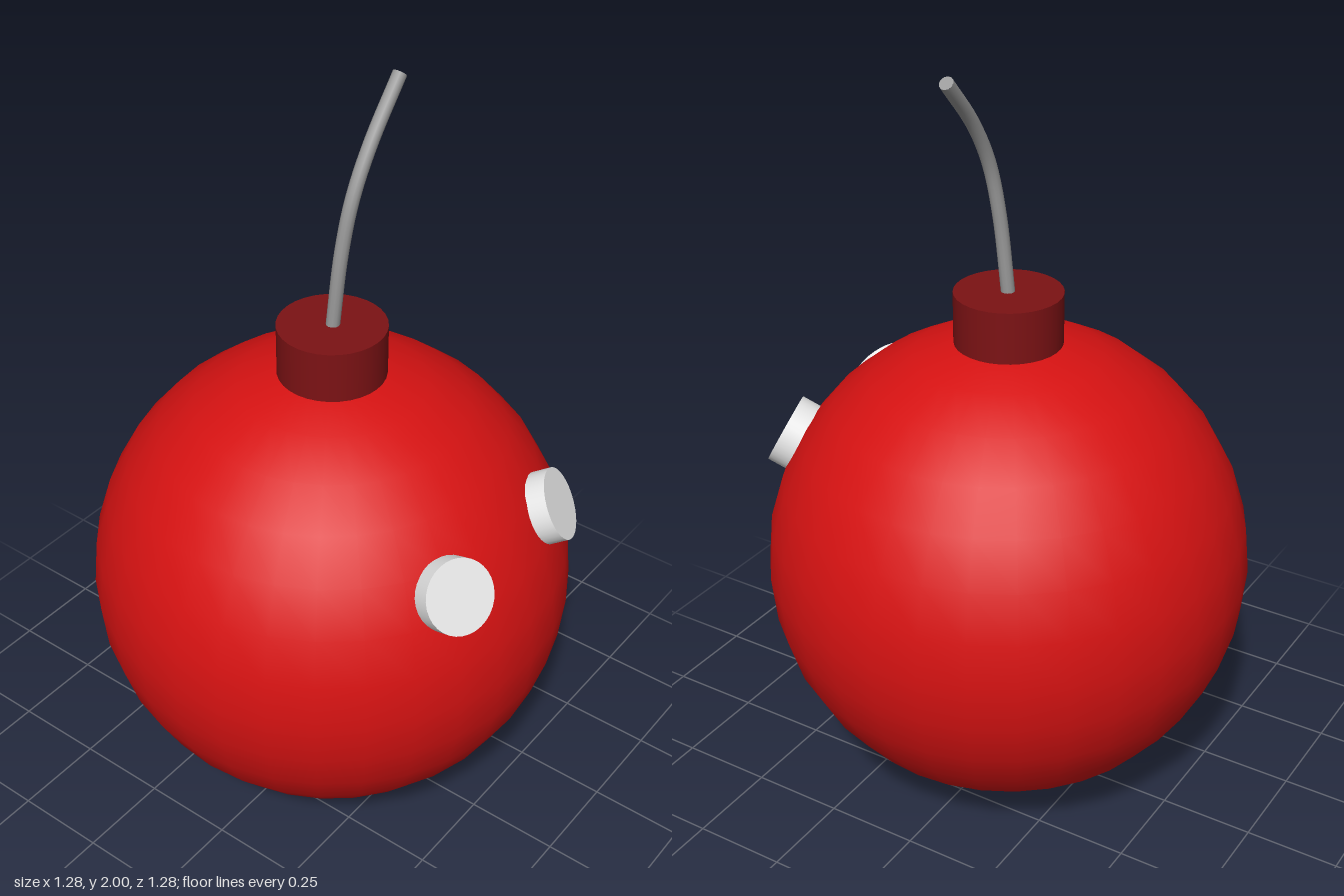
import * as THREE from 'three';

const material = (name, color) => {
  const m = new THREE.MeshStandardMaterial({ color });
  m.name = name;
  return m;
};

export function createModel() {
  const red = material('red', 0xd61212);
  const darkRed = material('dark red', 0x7c1214);
  const white = material('white', 0xfafafa);
  const grey = material('grey', 0x999999);

  const model = new THREE.Group();
  model.name = 'bomb';
  const add = (name, geometry, mat, parent = model) => {
    const mesh = new THREE.Mesh(geometry, mat);
    mesh.name = name;
    parent.add(mesh);
    return mesh;
  };

  // Round body
  const R = 0.64;
  const centre = new THREE.Vector3(0, R, 0);
  add('body', new THREE.SphereGeometry(R, 32, 16), red).position.copy(centre);

  // Collar at the top
  add('collar', new THREE.CylinderGeometry(0.14, 0.14, 0.2, 32), darkRed).position.y = 1.3;

  // Bent fuse with closed ends
  const fuse = new THREE.Group();
  fuse.name = 'fuse';
  model.add(fuse);
  const radius = 0.018;
  const path = new THREE.CatmullRomCurve3([
    [0, 1.38, 0], [0.016, 1.6, 0.016], [0.045, 1.74, 0.027],
    [0.11, 1.855, 0.029], [0.232, 1.986, 0.022],
  ].map((p) => new THREE.Vector3(...p)));
  add('fuseCord', new THREE.TubeGeometry(path, 24, radius, 12), grey, fuse);
  for (const [t, sign] of [[0, -1], [1, 1]]) {
    const end = add('fuseEnd', new THREE.CircleGeometry(radius, 12), grey, fuse);
    const outward = path.getTangentAt(t).multiplyScalar(sign);
    end.position.copy(path.getPointAt(t));
    end.quaternion.setFromUnitVectors(new THREE.Vector3(0, 0, 1), outward);
  }

  // Disc eyes, each pointing straight out from the body's centre
  const depth = 0.1;
  for (const [name, side] of [['leftEye', 1], ['rightEye', -1]]) {
    const out = new THREE.Vector3(side * 0.225, 0.322, 0.556).normalize();
    const eye = add(name, new THREE.CylinderGeometry(0.095, 0.095, depth, 32), white);
    eye.position.copy(centre).addScaledVector(out, 0.682 - depth / 2);
    eye.quaternion.setFromUnitVectors(new THREE.Vector3(0, 1, 0), out);
  }

  return model;
}
